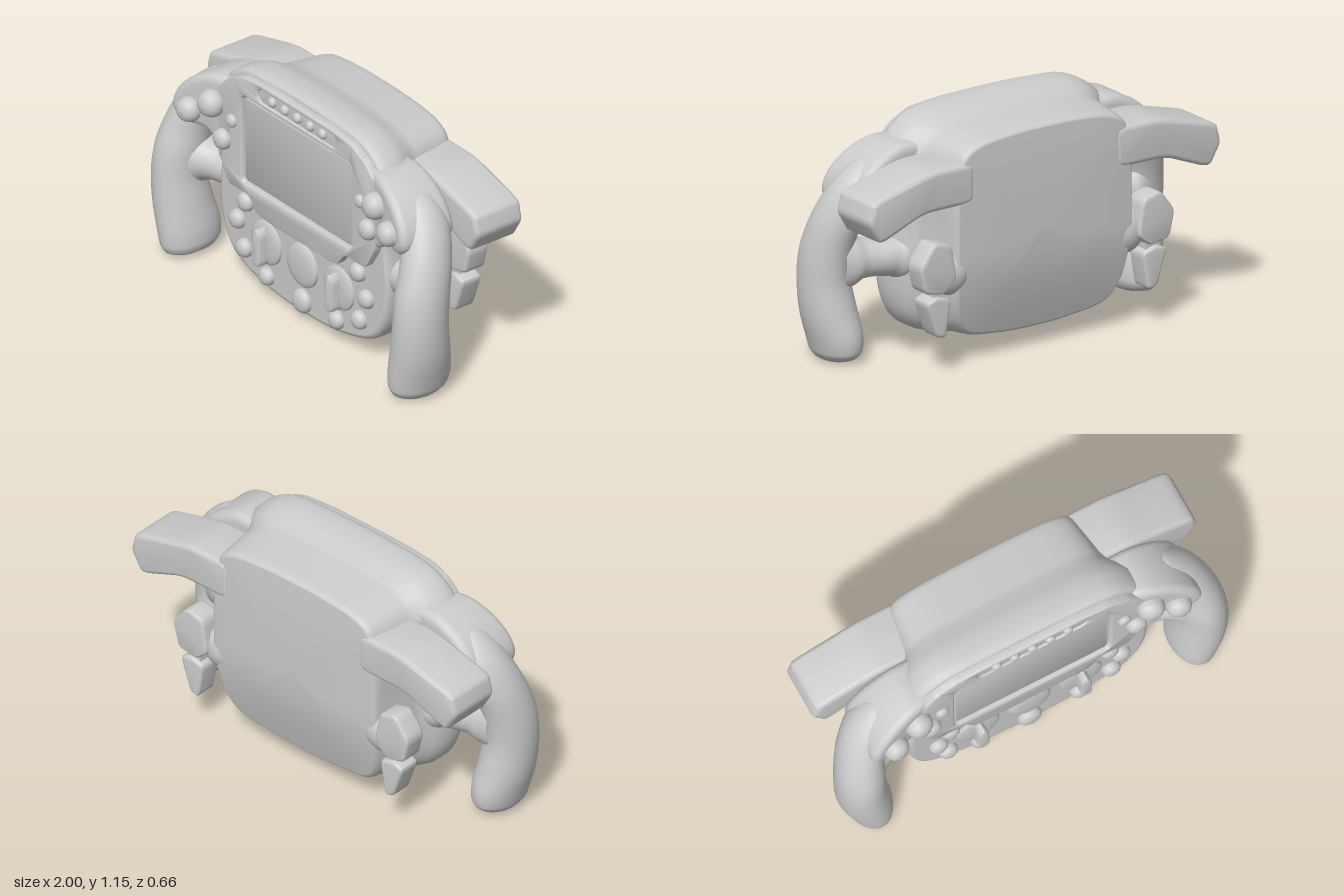
import * as THREE from 'three';
import { toCreasedNormals } from 'three/addons/utils/BufferGeometryUtils.js';

const mat = new THREE.MeshStandardMaterial({ color: 0xcccccc, roughness: 0.7 });
const V2 = (p) => new THREE.Vector2(p[0], p[1]);

function add(parent, name, geo, x = 0, y = 0, z = 0) {
  const m = new THREE.Mesh(geo, mat);
  m.name = name;
  m.position.set(x, y, z);
  parent.add(m);
  return m;
}

// Skin over closed rings of equal point count
function loft(rings) {
  const n = rings[0].length, idx = [];
  for (let i = 0; i < rings.length - 1; i++)
    for (let j = 0; j < n; j++) {
      const k = (j + 1) % n, a = i * n + j, b = i * n + k, c = a + n, d = b + n;
      idx.push(a, b, c, b, d, c);
    }
  const g = new THREE.BufferGeometry().setFromPoints(rings.flat());
  g.setIndex(idx);
  g.computeVertexNormals();
  return g;
}

// Elliptical sweep through stations [x, y, z, radius across, radius in z]
function sweep(st, steps = 40, n = 32) {
  const path = new THREE.CatmullRomCurve3(st.map((s) => new THREE.Vector3(s[0], s[1], s[2])));
  const radii = new THREE.CatmullRomCurve3(st.map((s) => new THREE.Vector3(s[3], s[4], 0)));
  const rings = [];
  for (let i = 0; i <= steps; i++) {
    const c = path.getPoint(i / steps), r = radii.getPoint(i / steps), t = path.getTangent(i / steps);
    const u = new THREE.Vector3(-t.y, t.x, 0).normalize();
    rings.push(Array.from({ length: n }, (_, j) => {
      const a = (j / n) * Math.PI * 2;
      const p = c.clone().addScaledVector(u, Math.cos(a) * r.x);
      p.z += Math.sin(a) * r.y;
      return p;
    }));
  }
  return loft(rings);
}

// Bevelled extrusion between two depths, keeping the drawn outline
function slab(shape, z0, z1, bevel, crease = 0.7) {
  const g = new THREE.ExtrudeGeometry(shape, {
    depth: z1 - z0 - 2 * bevel, bevelThickness: bevel, bevelSize: bevel,
    bevelOffset: -bevel, bevelSegments: 4, curveSegments: 10,
  });
  g.translate(0, 0, z0 + bevel);
  return toCreasedNormals(g, crease);
}

function roundRect(x0, y0, x1, y1, r) {
  const s = new THREE.Shape(), q = Math.PI / 2;
  s.absarc(x1 - r, y1 - r, r, 0, q);
  s.absarc(x0 + r, y1 - r, r, q, 2 * q);
  s.absarc(x0 + r, y0 + r, r, 2 * q, 3 * q);
  s.absarc(x1 - r, y0 + r, r, 3 * q, 4 * q);
  s.closePath();
  return s;
}

// Polygon with softened corners
function softPoly(pts, k = 0.3) {
  const s = new THREE.Shape(), n = pts.length, p = pts.map(V2);
  for (let i = 0; i < n; i++) {
    const a = p[i].clone().lerp(p[(i + n - 1) % n], k), b = p[i].clone().lerp(p[(i + 1) % n], k);
    if (i) s.lineTo(a.x, a.y); else s.moveTo(a.x, a.y);
    s.quadraticCurveTo(p[i].x, p[i].y, b.x, b.y);
  }
  s.closePath();
  return s;
}

// Domed push button facing +z
function button(r, h) {
  const pts = [[0.001, h], [r * 0.45, h * 0.95], [r * 0.75, h * 0.78], [r * 0.93, h * 0.5], [r, h * 0.25], [r, -0.04]];
  return new THREE.LatheGeometry(pts.reverse().map(V2), 28).rotateX(Math.PI / 2);
}

function makeBody() {
  const front = [[0, 1.155], [0.22, 1.15], [0.42, 1.13], [0.52, 1.08], [0.59, 1.0], [0.62, 0.85], [0.6, 0.65],
    [0.62, 0.42], [0.58, 0.22], [0.5, 0.12], [0.25, 0.045], [0, 0.03]];
  const back = [[0, 1.09], [0.2, 1.085], [0.38, 1.06], [0.45, 1.02], [0.48, 0.95], [0.495, 0.85], [0.5, 0.65],
    [0.495, 0.42], [0.46, 0.22], [0.4, 0.14], [0.2, 0.1], [0, 0.09]];
  const ring = (mix, scale, z) => {
    const half = front.map((f, i) => new THREE.Vector3(
      THREE.MathUtils.lerp(f[0], back[i][0], mix), THREE.MathUtils.lerp(f[1], back[i][1], mix), 0));
    const rest = half.slice(1, -1).reverse().map((p) => new THREE.Vector3(-p.x, p.y, 0));
    const curve = new THREE.CatmullRomCurve3([...half, ...rest], true);
    return Array.from({ length: 110 }, (_, i) => {
      const p = curve.getPoint(i / 110);
      p.set(p.x * scale, 0.6 + (p.y - 0.6) * scale, z);
      // lower back leans forward
      if (z < -0.2) p.z += 0.08 * Math.pow(Math.max(0, (0.5 - p.y) / 0.4), 1.5);
      return p;
    });
  };
  return loft([[0, 0.001, 0.17], [0, 0.955, 0.17], [0, 0.965, 0.17], [0, 0.985, 0.163], [0, 0.997, 0.145], [0, 1, 0.12],
    [0, 1, 0.06], [0.25, 1, 0], [0.62, 1, -0.05], [0.72, 1, -0.09], [0.95, 1, -0.26], [1, 1, -0.285], [1, 0.992, -0.3],
    [1, 0.975, -0.31], [1, 0.96, -0.313], [1, 0.6, -0.322], [1, 0.3, -0.325], [1, 0.001, -0.325]].map((a) => ring(...a)));
}

// Everything on one side, built for +x
function makeSide(name) {
  const g = new THREE.Group();
  g.name = name;

  // Upper button pod, its face leaning outward
  const podShape = new THREE.Shape();
  const pod = [[0.42, 1.0], [0.54, 1.03], [0.64, 1.02], [0.75, 0.96], [0.83, 0.87], [0.85, 0.78], [0.79, 0.72],
    [0.68, 0.725], [0.63, 0.71], [0.59, 0.65], [0.5, 0.63], [0.43, 0.72]].reverse().map(V2);
  podShape.moveTo(pod[0].x, pod[0].y);
  podShape.splineThru([...pod.slice(1), pod[0]]);
  const podGeo = slab(podShape, -0.04, 0.21, 0.04);
  const pos = podGeo.attributes.position;
  for (let i = 0; i < pos.count; i++)
    if (pos.getZ(i) > 0.1) pos.setZ(i, pos.getZ(i) + 0.22 * (pos.getX(i) - 0.57));
  add(g, 'buttonPod', toCreasedNormals(podGeo, 0.7));

  // Hand grip and its spoke
  add(g, 'handGrip', sweep([[0.66, 0.9, 0.08, 0.01, 0.01], [0.7, 0.88, 0.08, 0.1, 0.1], [0.79, 0.8, 0.095, 0.105, 0.125],
    [0.85, 0.68, 0.135, 0.108, 0.13], [0.876, 0.54, 0.175, 0.115, 0.135], [0.882, 0.4, 0.19, 0.117, 0.135],
    [0.866, 0.25, 0.18, 0.122, 0.148], [0.842, 0.13, 0.166, 0.116, 0.16], [0.832, 0.06, 0.165, 0.106, 0.155],
    [0.828, 0.025, 0.17, 0.085, 0.13], [0.826, 0.008, 0.18, 0.05, 0.08], [0.826, 0.003, 0.185, 0.001, 0.001]], 60));
  add(g, 'spoke', sweep([[0.5, 0.47, 0.06, 0.01, 0.01], [0.52, 0.47, 0.06, 0.09, 0.09], [0.56, 0.47, 0.06, 0.108, 0.104],
    [0.61, 0.475, 0.065, 0.092, 0.092], [0.68, 0.48, 0.08, 0.088, 0.09], [0.75, 0.485, 0.11, 0.1, 0.1],
    [0.8, 0.485, 0.13, 0.135, 0.115], [0.86, 0.485, 0.15, 0.16, 0.11]]));

  // Pod buttons [x, y, radius, height]
  for (const [x, y, r, h] of [[0.6, 0.89, 0.066, 0.07], [0.73, 0.81, 0.061, 0.062], [0.53, 0.73, 0.051, 0.045], [0.47, 0.85, 0.033, 0.025]])
    add(g, 'podButton', button(r, h), x, y, 0.21 + 0.22 * Math.max(0, x - 0.57)).rotation.y = x > 0.57 ? -0.21 : 0;

  // Lower face buttons
  for (const [x, y, r] of [[0.41, 0.44, 0.047], [0.47, 0.325, 0.047], [0.42, 0.195, 0.047], [0.255, 0.12, 0.045]])
    add(g, 'faceButton', button(r, 0.042), x, y, 0.17);

  // Rotary selector
  add(g, 'rotaryDial', button(0.11, 0.022), 0.265, 0.29, 0.17);
  add(g, 'rotaryHandle', slab(softPoly([[0.235, 0.19], [0.295, 0.19], [0.29, 0.35], [0.265, 0.38], [0.24, 0.35]]), 0.16, 0.24, 0.01));

  // Shift paddle and the two small rear levers
  add(g, 'shiftPaddle', slab(softPoly([[0.4, 0.79], [0.68, 0.79], [0.93, 0.69], [0.995, 0.8], [0.97, 0.9], [0.65, 0.985], [0.4, 0.985]], 0.22),
    -0.32, -0.05, 0.025, 0.9));
  add(g, 'upperLever', slab(softPoly([[0.51, 0.45], [0.58, 0.39], [0.69, 0.41], [0.72, 0.54], [0.64, 0.645], [0.54, 0.62]], 0.25), -0.335, -0.22, 0.015));
  add(g, 'lowerLever', slab(softPoly([[0.54, 0.36], [0.57, 0.18], [0.62, 0.19], [0.68, 0.36], [0.62, 0.385]], 0.22), -0.33, -0.215, 0.015));
  add(g, 'leverStalk', new THREE.BoxGeometry(0.06, 0.1, 0.075), 0.6, 0.39, -0.272);
  add(g, 'leverMount', new THREE.SphereGeometry(1, 28, 20), 0.49, 0.46, -0.235).scale.set(0.11, 0.11, 0.085);
  return g;
}

export function createModel() {
  const model = new THREE.Group();
  model.name = 'steeringWheel';
  add(model, 'body', makeBody());

  // Raised upper face with cut-outs for the screen and lamp strip
  const half = [[0, 1.13], [0.22, 1.127], [0.4, 1.11], [0.5, 1.06], [0.57, 0.99], [0.6, 0.9], [0.59, 0.72], [0.57, 0.63],
    [0.5, 0.51], [0.35, 0.51], [0.29, 0.43]];
  const face = softPoly([...half.slice(1).map(([x, y]) => [-x, y]), ...half.slice(1).reverse()], 0.2);
  face.holes.push(roundRect(-0.405, 0.56, 0.405, 1.015, 0.03), roundRect(-0.285, 1.035, 0.285, 1.105, 0.034));
  add(model, 'upperFace', slab(face, 0.14, 0.21, 0.008));
  add(model, 'screen', slab(roundRect(-0.395, 0.57, 0.395, 1.005, 0.025), 0.15, 0.195, 0.004));
  add(model, 'lampTray', slab(roundRect(-0.29, 1.03, 0.29, 1.11, 0.03), 0.15, 0.2, 0.002));
  for (let i = -2; i <= 2; i++) add(model, 'lamp', button(0.025, 0.023), i * 0.092, 1.07, 0.2);

  // Centre dial and bottom button
  add(model, 'centreDial', button(0.11, 0.028), 0, 0.29, 0.17);
  add(model, 'bottomButton', button(0.06, 0.04), 0, 0.105, 0.17);

  const left = makeSide('leftSide'), right = makeSide('rightSide');
  right.scale.x = -1;
  model.add(left, right);
  return model;
}
